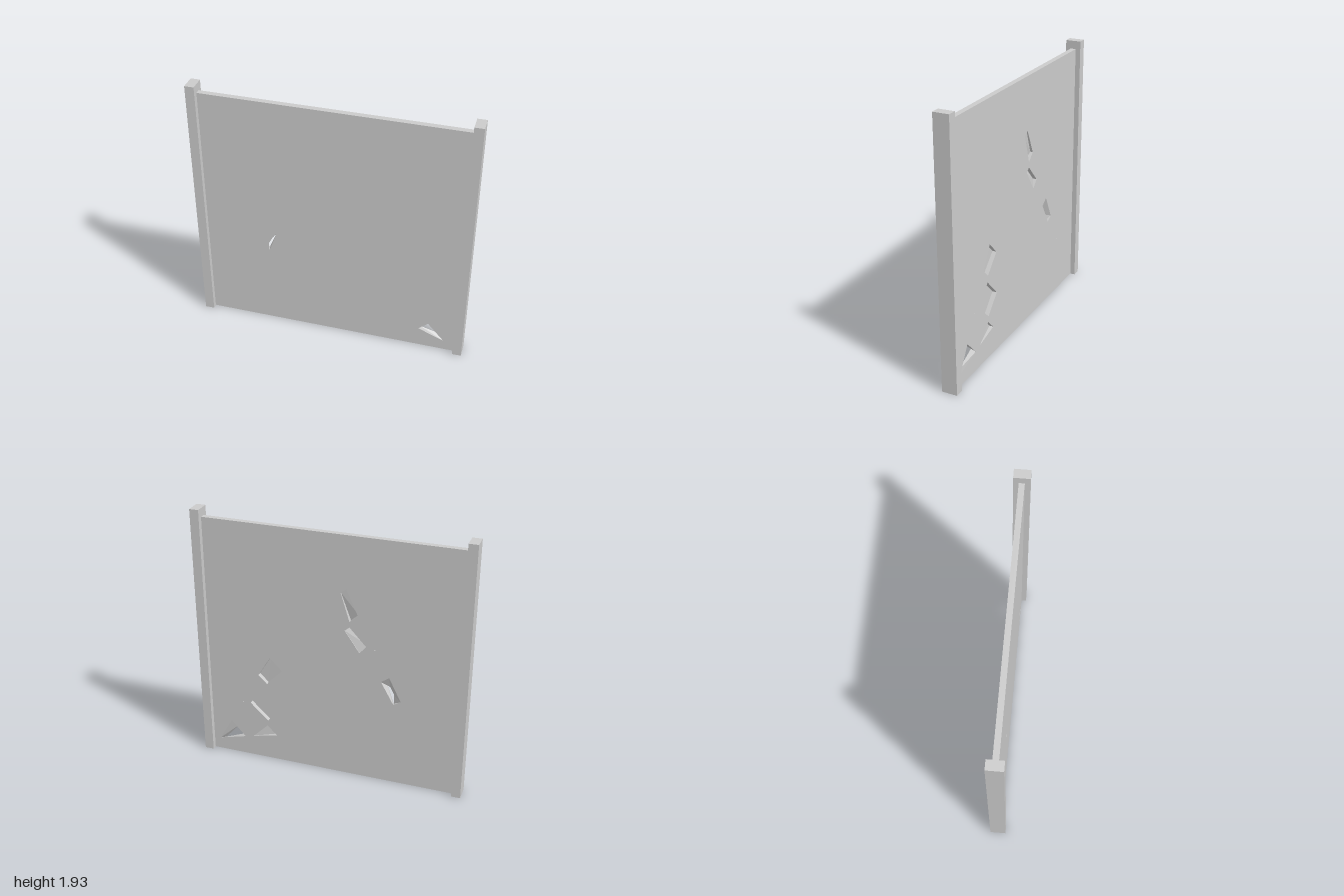
import * as THREE from 'three';

const HALF_W = 0.935, TOP = 1.87, FRONT = 0.02, BACK = -0.02;
const POST = { w: 0.067, h: 1.93, d: 0.114 };

// Chips in the back face: outline corners [x, y, depth]
const pits = [
  [[-0.08, 1.45, 0.008], [-0.12, 1.48, 0.008], [-0.204, 1.296, 0.02], [-0.145, 1.24, 0.034]],
  [[-0.11, 1.17, 0.004], [-0.145, 1.2, 0.03], [-0.27, 1.067, 0.03], [-0.22, 1.013, 0.004]],
  [[0.454, 0.857, 0.03], [0.359, 0.762, 0.03], [0.483, 0.636, 0.033], [0.549, 0.7, 0.033]],
  [[0.49, 0.587, 0.034], [0.359, 0.449, 0.034], [0.483, 0.323, 0.034], [0.622, 0.453, 0.034]],
  [[0.49, 0.281, 0.025], [0.417, 0.207, 0.03], [0.607, 0.163, 0.003]],
];
// Tiny nicks
for (const [x, y] of [[0.68, 0.45], [-0.33, 1.06], [-0.65, 0.44]]) {
  pits.push([[x, y + 0.005, 0.004], [x - 0.005, y - 0.004, 0.004], [x + 0.005, y - 0.004, 0.004]]);
}
// Slanted holes right through the panel: back outline and front outline
const holes = [
  {
    back: [[0.783, 0.264], [0.673, 0.146], [0.885, 0.09]],
    front: [[0.735, 0.217], [0.667, 0.155], [0.855, 0.08]],
  },
  {
    back: [[-0.38, 0.815], [-0.438, 0.858], [-0.526, 0.68], [-0.474, 0.648]],
    front: [[-0.407, 0.805], [-0.437, 0.765], [-0.468, 0.705], [-0.467, 0.637]],
  },
];

const at = (ring, z) => ring.map(([x, y]) => [x, y, z]);

function createPanelGeometry() {
  const pos = [];
  const tri = (...corners) => corners.forEach((c) => pos.push(...c));
  const wall = (a, b) => a.forEach((p, i) => {
    const j = (i + 1) % a.length;
    tri(p, b[i], b[j]);
    tri(p, b[j], a[j]);
  });
  const toPath = (ring, Type) => new Type(ring.map(([x, y]) => new THREE.Vector2(x, y)));
  const rim = [[-HALF_W, 0], [HALF_W, 0], [HALF_W, TOP], [-HALF_W, TOP]];

  // Flat face pierced by the given outlines
  const face = (cuts, z, flip) => {
    const shape = toPath(rim, THREE.Shape);
    shape.holes = cuts.map((c) => toPath(c, THREE.Path));
    const geo = new THREE.ShapeGeometry(shape);
    const p = geo.attributes.position, index = geo.index.array;
    const corner = (i) => [p.getX(i), p.getY(i), z];
    for (let i = 0; i < index.length; i += 3) {
      const t = [index[i], index[i + 1], index[i + 2]].map(corner);
      tri(...(flip ? t.reverse() : t));
    }
  };
  face(holes.map((h) => h.front), FRONT, false);
  face([...holes.map((h) => h.back), ...pits], BACK, true);

  // Outer edges, hole walls, then pit walls and floors
  const outer = [...rim].reverse();
  wall(at(outer, BACK), at(outer, FRONT));
  for (const h of holes) wall(at(h.back, BACK), at(h.front, FRONT));
  for (const pit of pits) {
    const floor = pit.map(([x, y, d]) => [x, y, BACK + d]);
    wall(at(pit, BACK), floor);
    for (let i = 1; i < floor.length - 1; i++) tri(floor[0], floor[i + 1], floor[i]);
  }

  const geo = new THREE.BufferGeometry();
  geo.setAttribute('position', new THREE.Float32BufferAttribute(pos, 3));
  geo.computeVertexNormals();
  return geo;
}

export function createModel() {
  const model = new THREE.Group();
  model.name = 'damagedWall';
  const material = new THREE.MeshStandardMaterial({ color: 0xcccccc, flatShading: true });

  const panel = new THREE.Mesh(createPanelGeometry(), material);
  panel.name = 'chippedPanel';
  model.add(panel);

  // End posts
  for (const side of [-1, 1]) {
    const post = new THREE.Mesh(new THREE.BoxGeometry(POST.w, POST.h, POST.d), material);
    post.name = side > 0 ? 'leftPost' : 'rightPost';
    post.position.set(side * (1 - POST.w / 2), POST.h / 2, 0);
    model.add(post);
  }
  return model;
}
